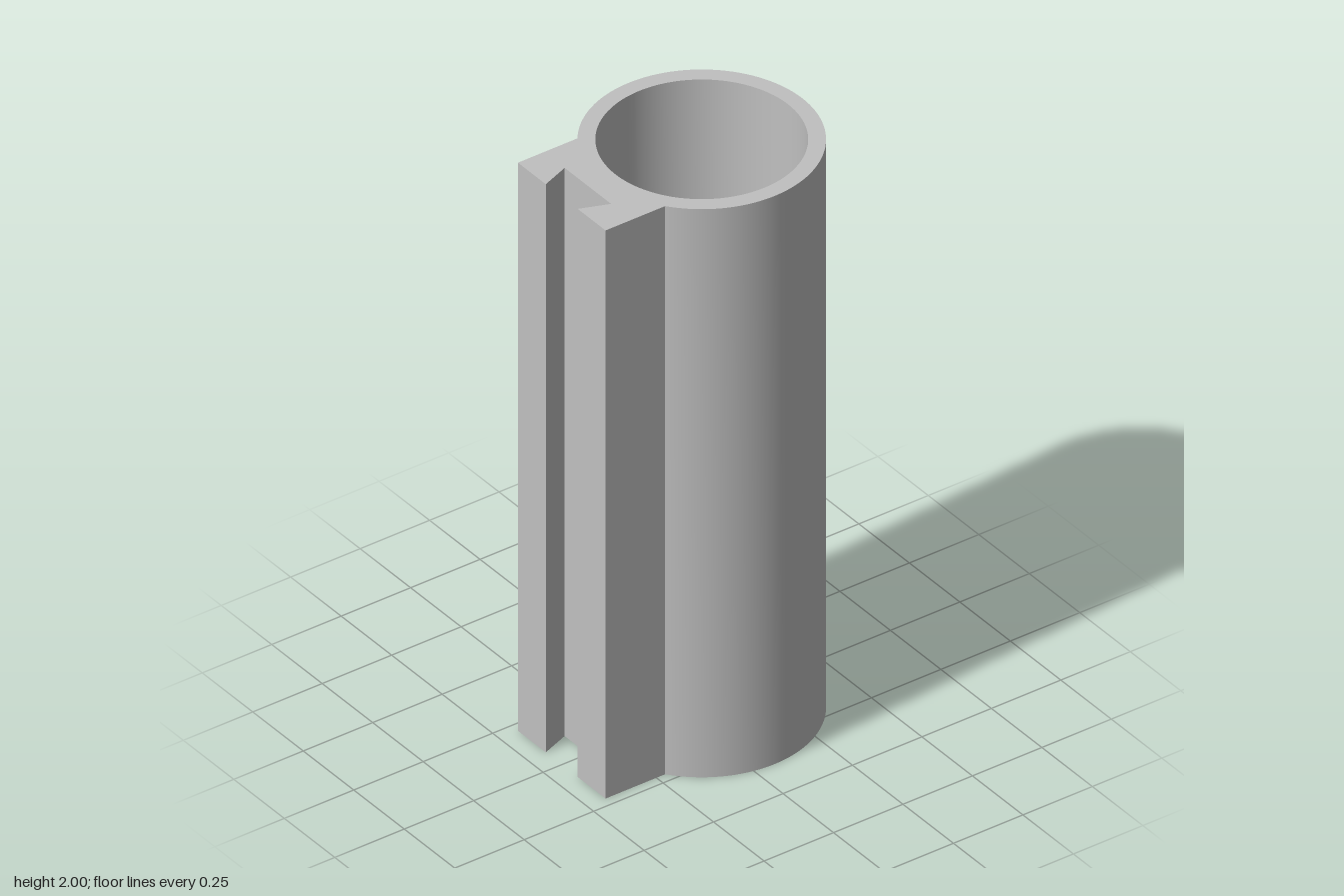
import * as THREE from 'three';
import { toCreasedNormals } from 'three/addons/utils/BufferGeometryUtils.js';

const HEIGHT = 2, AXIS_X = 0.071, OUTER_R = 0.362;
const BORE_R = 0.31, HOLE_R = 0.093, RECESS_R = 0.165;
const FLOOR_Y = 0.12, RECESS_Y = 0.015;
const RAIL_X = -0.433, RAIL_Z = 0.217;
const ARC_STEPS = 48; // full circles get twice this many sides

// Round tube outline with a rail block that has a dovetail slot
function outline(holeRadius) {
  const a = Math.PI - Math.asin(RAIL_Z / OUTER_R);
  const shape = new THREE.Shape();
  shape.moveTo(RAIL_X, RAIL_Z);
  shape.lineTo(RAIL_X, 0.079);
  shape.lineTo(-0.339, 0.115);
  shape.lineTo(-0.339, -0.115);
  shape.lineTo(RAIL_X, -0.079);
  shape.lineTo(RAIL_X, -RAIL_Z);
  shape.absarc(AXIS_X, 0, OUTER_R, -a, a, false);
  shape.closePath();
  if (holeRadius) {
    const hole = new THREE.Path();
    hole.absarc(AXIS_X, 0, holeRadius, 0, Math.PI * 2, true);
    shape.holes.push(hole);
  }
  return shape;
}

// Outer wall: the side faces of the extruded outline, without its lids
function wallGeometry() {
  const solid = new THREE.ExtrudeGeometry(outline(), {
    depth: HEIGHT, bevelEnabled: false, curveSegments: ARC_STEPS,
  });
  const { start, count } = solid.groups[1];
  const positions = solid.attributes.position.array.slice(start * 3, (start + count) * 3);
  const wall = new THREE.BufferGeometry();
  wall.setAttribute('position', new THREE.BufferAttribute(positions, 3));
  wall.rotateX(-Math.PI / 2);
  return toCreasedNormals(wall, Math.PI / 7);
}

// Bore, floor, through hole and shallow recess underneath
function boreGeometry() {
  const profile = [
    [BORE_R, HEIGHT], [BORE_R, FLOOR_Y], [HOLE_R, FLOOR_Y],
    [HOLE_R, RECESS_Y], [RECESS_R, RECESS_Y], [RECESS_R, 0],
  ].map(([r, y]) => new THREE.Vector2(r, y));
  const bore = new THREE.LatheGeometry(profile, ARC_STEPS * 2);
  bore.translate(AXIS_X, 0, 0);
  return toCreasedNormals(bore, Math.PI / 7);
}

export function createModel() {
  const group = new THREE.Group();
  group.name = 'slottedTube';
  const grey = new THREE.MeshStandardMaterial({ color: 0xc0c0c0 });
  grey.name = 'grey';

  const add = (name, geometry) => {
    const mesh = new THREE.Mesh(geometry, grey);
    mesh.name = name;
    group.add(mesh);
  };

  add('outerWall', wallGeometry());
  add('bore', boreGeometry());
  add('topRim', new THREE.ShapeGeometry(outline(BORE_R), ARC_STEPS)
    .rotateX(-Math.PI / 2).translate(0, HEIGHT, 0));
  add('bottomFace', new THREE.ShapeGeometry(outline(RECESS_R), ARC_STEPS)
    .rotateX(Math.PI / 2));
  return group;
}
